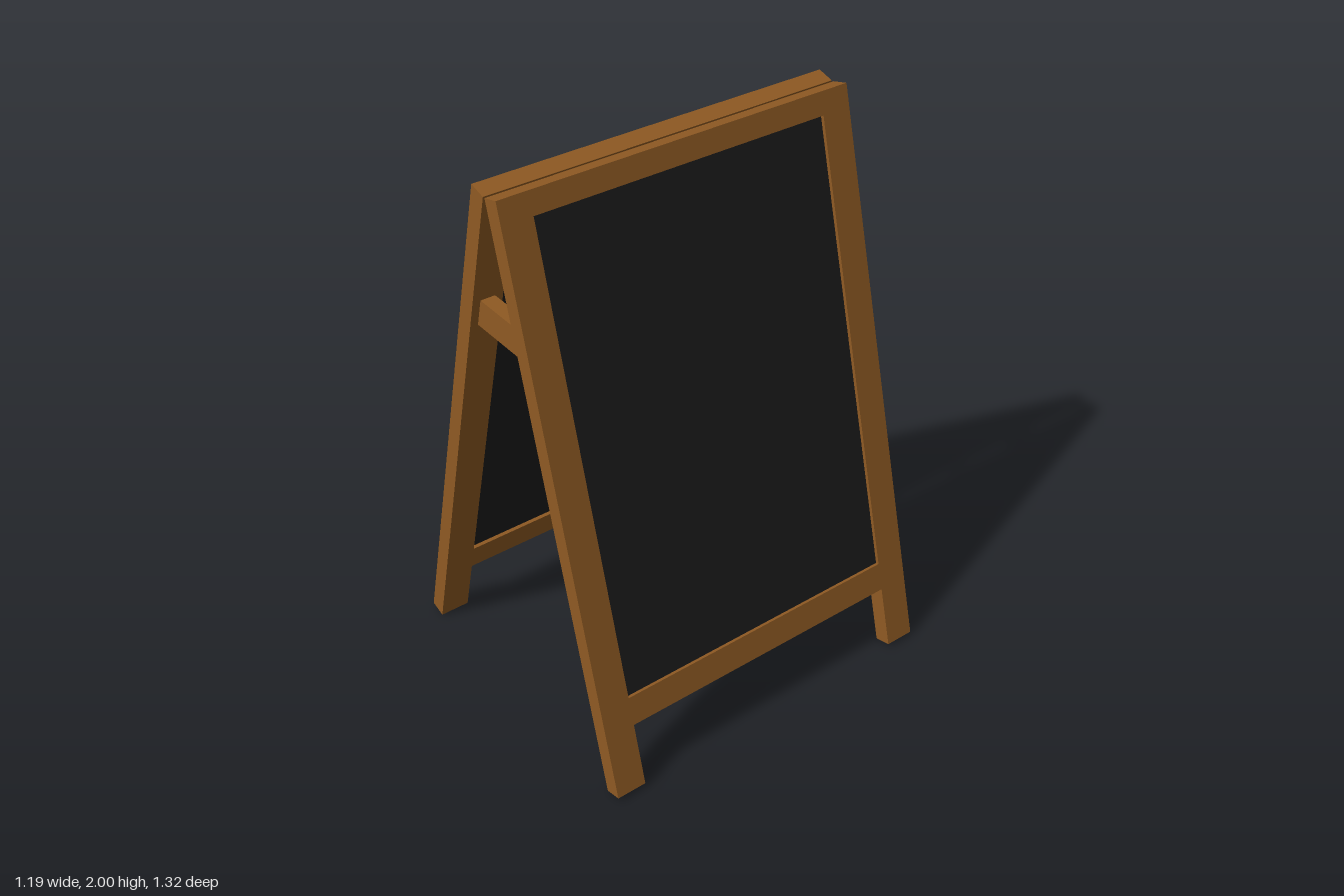
import * as THREE from 'three';

const TILT = THREE.MathUtils.degToRad(15);
const LENGTH = 2.0537, THICK = 0.063, HALF_DEPTH = 0.66, STILE = 0.11;

export function createModel() {
  const wood = new THREE.MeshStandardMaterial({ color: 0x8f5a23 });
  const slate = new THREE.MeshStandardMaterial({ color: 0x1c1c1c });
  const sign = new THREE.Group();
  sign.name = 'sandwichBoard';

  // Box in panel space: "from" and "to" run down the panel from its top edge
  function slab(parent, name, from, to, z, depth, material, thick = THICK) {
    const mesh = new THREE.Mesh(new THREE.BoxGeometry(thick, to - from, depth), material);
    mesh.position.set(-THICK / 2, -(from + to) / 2, z);
    mesh.name = name;
    parent.add(mesh);
  }

  // One leaning panel: two long legs, two rails and a recessed writing surface
  function makePanel(name) {
    const panel = new THREE.Group();
    const inner = 2 * (HALF_DEPTH - STILE);
    for (const s of [-1, 1]) {
      slab(panel, 'leg', 0, LENGTH, s * (HALF_DEPTH - STILE / 2), STILE, wood);
    }
    slab(panel, 'topRail', 0, 0.078, 0, inner, wood);
    slab(panel, 'bottomRail', 1.718, 1.822, 0, inner, wood);
    slab(panel, 'chalkboard', 0.07, 1.725, 0, inner + 0.01, slate, THICK - 0.026);
    panel.rotation.z = TILT;
    panel.position.set(0.065, 2, 0);
    const side = new THREE.Group();
    side.name = name;
    side.add(panel);
    return side;
  }

  const left = makePanel('leftPanel');
  const right = makePanel('rightPanel');
  right.rotation.y = Math.PI;
  sign.add(left, right);

  // Spreader bars, cut to the slope of the panels and set into the legs
  const y0 = 1.475, y1 = 1.575;
  const halfWidth = (y) => 0.014 + (1.984 - y) * Math.tan(TILT);
  const outline = new THREE.Shape([
    new THREE.Vector2(-halfWidth(y0), y0),
    new THREE.Vector2(halfWidth(y0), y0),
    new THREE.Vector2(halfWidth(y1), y1),
    new THREE.Vector2(-halfWidth(y1), y1),
  ]);
  const barGeometry = new THREE.ExtrudeGeometry(outline, { depth: 0.052, bevelEnabled: false });
  barGeometry.translate(0, 0, -0.026);
  for (const s of [-1, 1]) {
    const bar = new THREE.Mesh(barGeometry, wood);
    bar.position.z = s * 0.606;
    bar.name = 'spreaderBar';
    sign.add(bar);
  }
  return sign;
}
